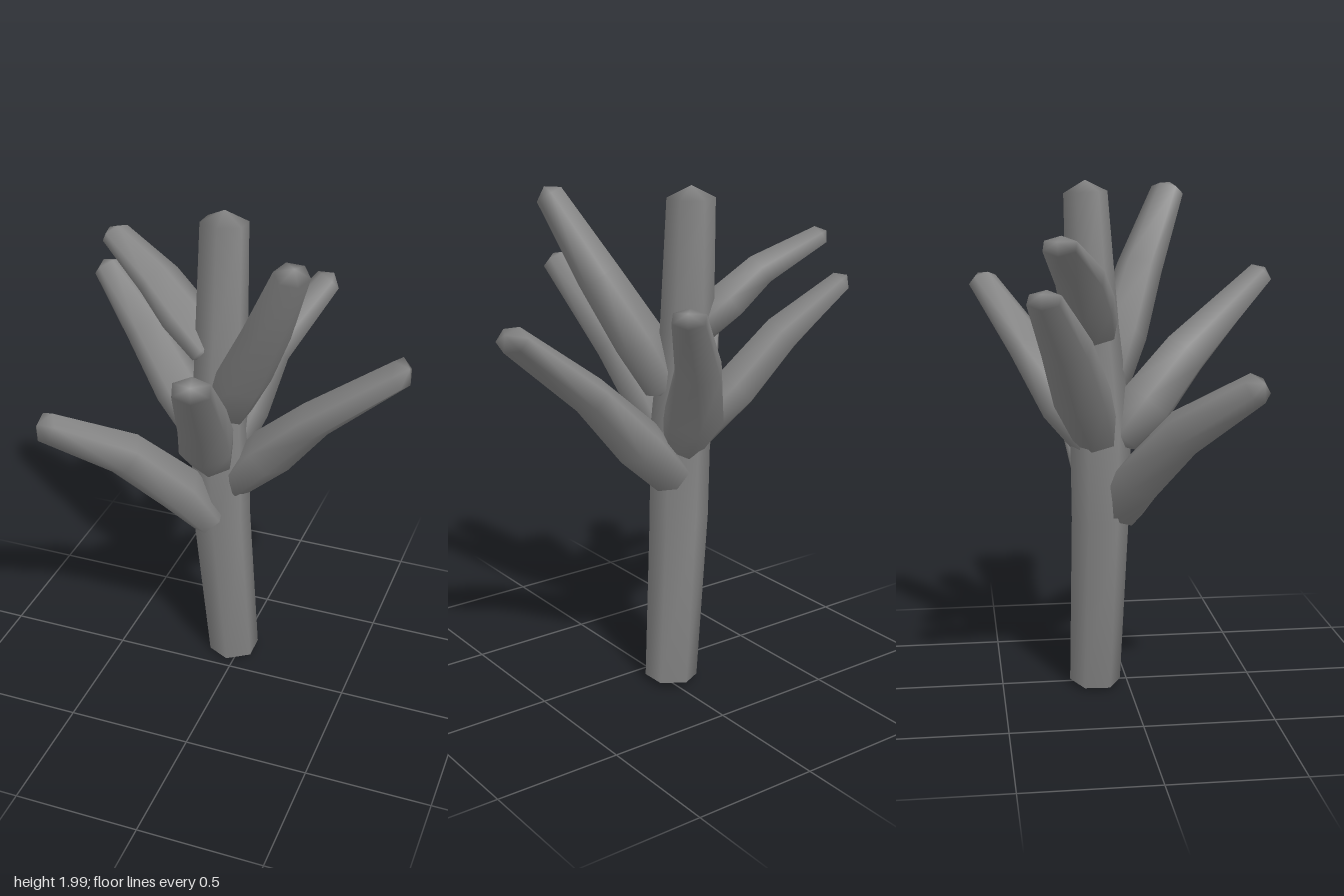
import * as THREE from 'three';

const SIDES = 6;
const material = new THREE.MeshStandardMaterial({ color: 0x858585 });

// Sweeps a flattened hexagon along [x, y, z, half height, half width] stations;
// low cones close both ends.
function limb(name, stations, baseHeight, tipHeight) {
  const centers = stations.map(([x, y, z]) => new THREE.Vector3(x, y, z));
  const last = centers.length - 1;
  const positions = [];
  const index = [];
  const tangents = centers.map((_, i) =>
    centers[Math.min(i + 1, last)].clone().sub(centers[Math.max(i - 1, 0)]).normalize());

  // Rings and smooth sides
  centers.forEach((c, i) => {
    const t = tangents[i];
    const [, , , high, wide] = stations[i];
    // steady reference direction keeps the hexagons from twisting
    const ref = Math.abs(t.y) > 0.95 ? new THREE.Vector3(0, 0, 1) : new THREE.Vector3(0, 1, 0);
    const n = ref.addScaledVector(t, -ref.dot(t)).normalize();
    const b = t.clone().cross(n);
    for (let k = 0; k < SIDES; k++) {
      const angle = (k / SIDES) * Math.PI * 2;
      const p = c.clone()
        .addScaledVector(n, Math.cos(angle) * high)
        .addScaledVector(b, Math.sin(angle) * wide);
      positions.push(p.x, p.y, p.z);
      if (i === last) continue;
      const j = i * SIDES + k;
      const next = i * SIDES + ((k + 1) % SIDES);
      index.push(j, next, next + SIDES, j, next + SIDES, j + SIDES);
    }
  });

  // End cones share the rim, so the shading rolls over softly
  for (const [i, height] of [[0, -baseHeight], [last, tipHeight]]) {
    const apex = centers[i].clone().addScaledVector(tangents[i], height);
    const apexIndex = positions.length / 3;
    positions.push(apex.x, apex.y, apex.z);
    for (let k = 0; k < SIDES; k++) {
      const a = i * SIDES + k;
      const b = i * SIDES + ((k + 1) % SIDES);
      index.push(apexIndex, ...(i === last ? [a, b] : [b, a]));
    }
  }

  const geometry = new THREE.BufferGeometry();
  geometry.setAttribute('position', new THREE.Float32BufferAttribute(positions, 3));
  geometry.setIndex(index);
  geometry.computeVertexNormals();
  const mesh = new THREE.Mesh(geometry, material);
  mesh.name = name;
  return mesh;
}

export function createModel() {
  const group = new THREE.Group();
  group.name = 'bareTree';

  // Trunk
  group.add(limb('trunk', [
    [-0.026, 0.02, -0.13, 0.101, 0.106],
    [-0.074, 0.7, -0.112, 0.112, 0.118],
    [-0.08, 1.05, -0.11, 0.118, 0.118],
    [-0.085, 1.45, -0.14, 0.1, 0.105],
    [-0.081, 1.955, -0.165, 0.083, 0.095],
  ], 0.015, 0.045));

  // Branches, from the lowest to the highest
  const branches = {
    lowFrontRightBranch: [
      [-0.1, 0.73, -0.03, 0.075, 0.085], [-0.2, 0.885, 0.03, 0.1, 0.11],
      [-0.37, 1.09, 0.165, 0.09, 0.092], [-0.585, 1.285, 0.39, 0.06, 0.072]],
    lowLeftBranch: [
      [-0.02, 0.88, -0.125, 0.08, 0.1], [0.13, 1.04, -0.125, 0.1, 0.14],
      [0.32, 1.25, -0.075, 0.075, 0.128], [0.64, 1.505, -0.075, 0.055, 0.1]],
    backLeftBranch: [
      [-0.07, 0.99, -0.13, 0.08, 0.085], [-0.04, 1.15, -0.25, 0.1, 0.12],
      [0.04, 1.365, -0.375, 0.075, 0.095], [0.215, 1.61, -0.545, 0.045, 0.068]],
    frontBranch: [
      [-0.085, 1.02, -0.03, 0.085, 0.09], [-0.07, 1.15, 0.07, 0.112, 0.115],
      [-0.025, 1.335, 0.225, 0.097, 0.1], [0.06, 1.635, 0.535, 0.05, 0.076]],
    backRightBranch: [
      [-0.12, 1.03, -0.13, 0.08, 0.09], [-0.28, 1.21, -0.2, 0.09, 0.115],
      [-0.445, 1.415, -0.27, 0.077, 0.1], [-0.655, 1.61, -0.365, 0.043, 0.068]],
    highFrontLeftBranch: [
      [-0.03, 1.23, -0.08, 0.085, 0.09], [0.05, 1.41, -0.02, 0.1, 0.11],
      [0.17, 1.655, 0.075, 0.085, 0.092], [0.3, 1.955, 0.205, 0.055, 0.07]],
    highRightBranch: [
      [-0.13, 1.44, -0.13, 0.07, 0.085], [-0.25, 1.55, -0.175, 0.08, 0.11],
      [-0.37, 1.66, -0.215, 0.065, 0.1], [-0.59, 1.785, -0.305, 0.04, 0.068]],
  };
  for (const [name, stations] of Object.entries(branches)) {
    group.add(limb(name, stations, 0.045, 0.035));
  }

  return group;
}
